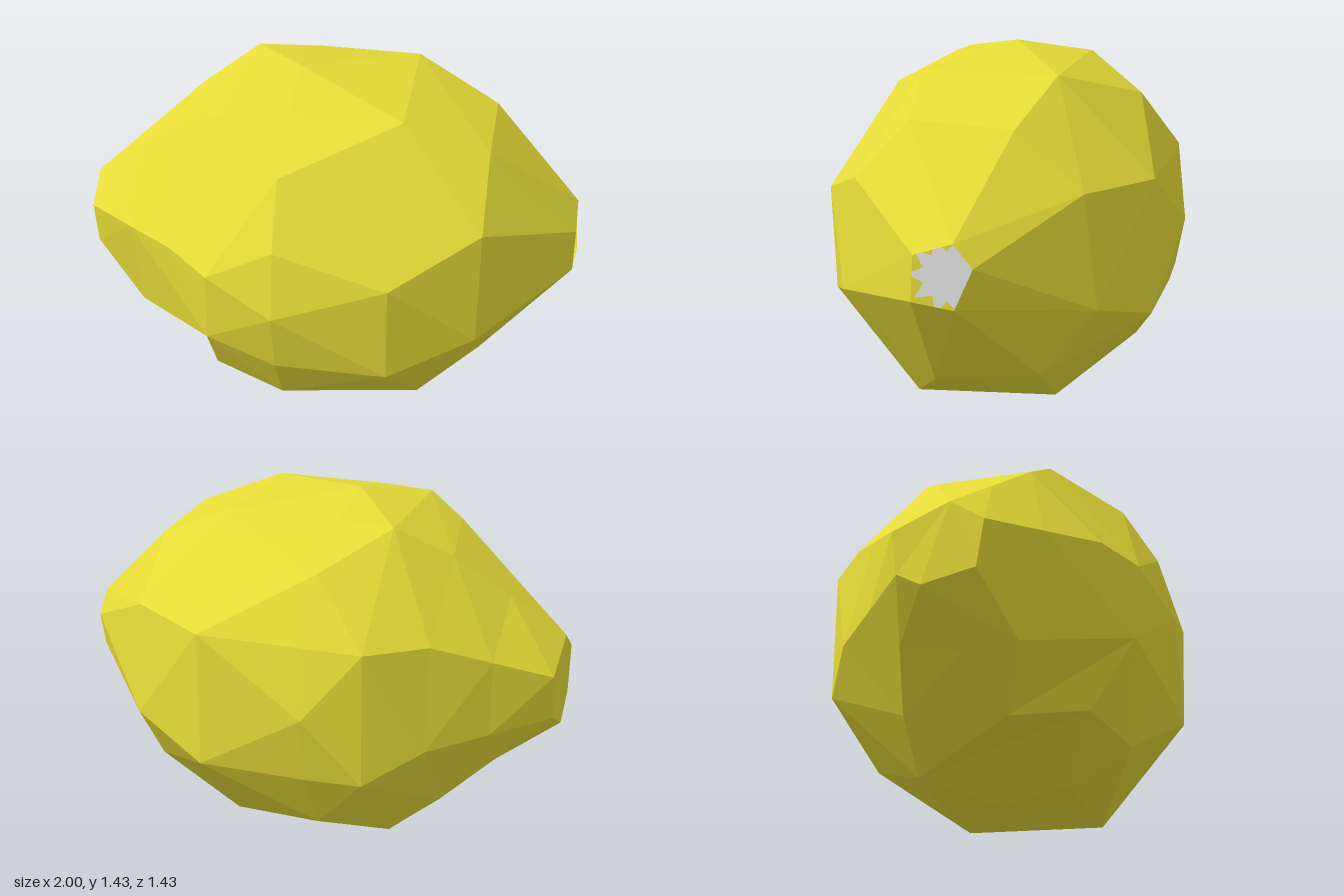
import * as THREE from 'three';

const CY = 0.715; // height of the long axis

// A corner on the skin from its place along the axis, angle from the top and radius
function corner(x, angle, radius) {
  const t = THREE.MathUtils.degToRad(angle);
  return new THREE.Vector3(x, CY + radius * Math.cos(t), radius * Math.sin(t));
}

// One cross-section; each corner may be moved by an override [x, degrees, radius]
function ring(x, angles, radii, overrides = {}) {
  return angles.map((a, k) =>
    corner(...(overrides[k] ?? [x, a, Array.isArray(radii) ? radii[k % radii.length] : radii])));
}
const around = (start, count = 8) => Array.from({ length: count }, (_, k) => start + (360 / count) * k);

// Two triangles for a quad, split along the diagonal that bulges outward
function quad(a, b, c, d) {
  const normal = b.clone().sub(a).cross(c.clone().sub(a));
  return normal.dot(d.clone().sub(a)) <= 0 ? [[a, b, c], [a, c, d]] : [[a, b, d], [b, c, d]];
}

// Joins two cross-sections; the one with fewer corners repeats them
function join(p, q) {
  const n = Math.max(p.length, q.length);
  const at = (loop, k) => loop[Math.floor(((k % n) * loop.length) / n)];
  return Array.from({ length: n }, (_, k) =>
    quad(at(p, k), at(p, k + 1), at(q, k + 1), at(q, k))).flat();
}

function facetMesh(tris, material, name) {
  const points = tris.filter(([a, b, c]) => new THREE.Triangle(a, b, c).getArea() > 1e-5).flat();
  const geometry = new THREE.BufferGeometry().setFromPoints(points);
  geometry.computeVertexNormals();
  const mesh = new THREE.Mesh(geometry, material);
  mesh.name = name;
  return mesh;
}

export function createModel() {
  const peel = new THREE.MeshStandardMaterial({ color: 0xe9df38, flatShading: true, side: THREE.DoubleSide });
  peel.name = 'lemon yellow';
  const pith = new THREE.MeshStandardMaterial({ color: 0xe6e6e6, side: THREE.DoubleSide });
  pith.name = 'pale grey';

  // Closed tip, and the shoulder whose moved corner 3 overhangs a notch low on the front
  const tip = ring(-0.985, [16, 16, 66, 126, 197, 236, 236, 295],
    [0.18, 0.18, 0.2, 0.19, 0.17, 0.18, 0.18, 0.19], { 4: [-1, 197, 0.17] });
  const shoulder = ring(-0.57, around(-16), 0.54, { 1: [-0.5, 22, 0.6], 3: [-0.42, 108, 0.64] });
  const neck = tip.map((p, k) => p.clone().lerp(shoulder[k], 0.5));
  neck[3] = corner(-0.78, 142, 0.41);

  // Cross-sections from the tip to the open stem end
  const rings = [
    tip,
    neck,
    shoulder,
    ring(-0.36, around(22.5), 0.7, { 1: [-0.41, 80, 0.64], 2: [-0.42, 108, 0.64], 3: [-0.43, 138, 0.64] }),
    ring(-0.14, around(0, 16), [0.715, 0.71, 0.735, 0.71]),
    ring(0.3, around(22.5), 0.71, { 1: [0.3, 77, 0.69], 3: [0.39, 157, 0.71] }),
    ring(0.63, [23, 57, 108, 165, 213, 252, 302, 340], [0.57, 0.53, 0.53, 0.52, 0.53, 0.53, 0.53, 0.54]),
    ring(0.985, [42, 42, 121, 215, 215, 215, 301, 343], [0.15, 0.15, 0.13, 0.1, 0.1, 0.1, 0.145, 0.17],
      { 3: [1, 215, 0.1], 4: [1, 215, 0.1], 5: [1, 215, 0.1] }),
  ];
  const skin = rings.slice(1).flatMap((q, r) => join(rings[r], q));

  // Flat cap on the tip
  for (let k = 1; k < 7; k++) skin.push([tip[0], tip[k + 1], tip[k]]);

  const group = new THREE.Group();
  group.name = 'lemon';
  group.add(facetMesh(skin, peel, 'peel'));

  // Floor inside the open stem end, with a pale star on it
  const floor = new THREE.Mesh(new THREE.CircleGeometry(0.2, 10), peel);
  floor.rotation.y = Math.PI / 2;
  floor.position.set(0.89, CY + 0.01, 0);
  floor.name = 'stemHollow';

  const starPoints = Array.from({ length: 20 }, (_, k) => {
    const r = k % 2 ? 0.095 : 0.155;
    return new THREE.Vector2(r * Math.cos((k * Math.PI) / 10), r * Math.sin((k * Math.PI) / 10));
  });
  const star = new THREE.Mesh(new THREE.ShapeGeometry(new THREE.Shape(starPoints)), pith);
  star.rotation.y = Math.PI / 2;
  star.position.set(0.896, CY + 0.01, 0);
  star.name = 'stemStar';

  group.add(floor, star);
  return group;
}
